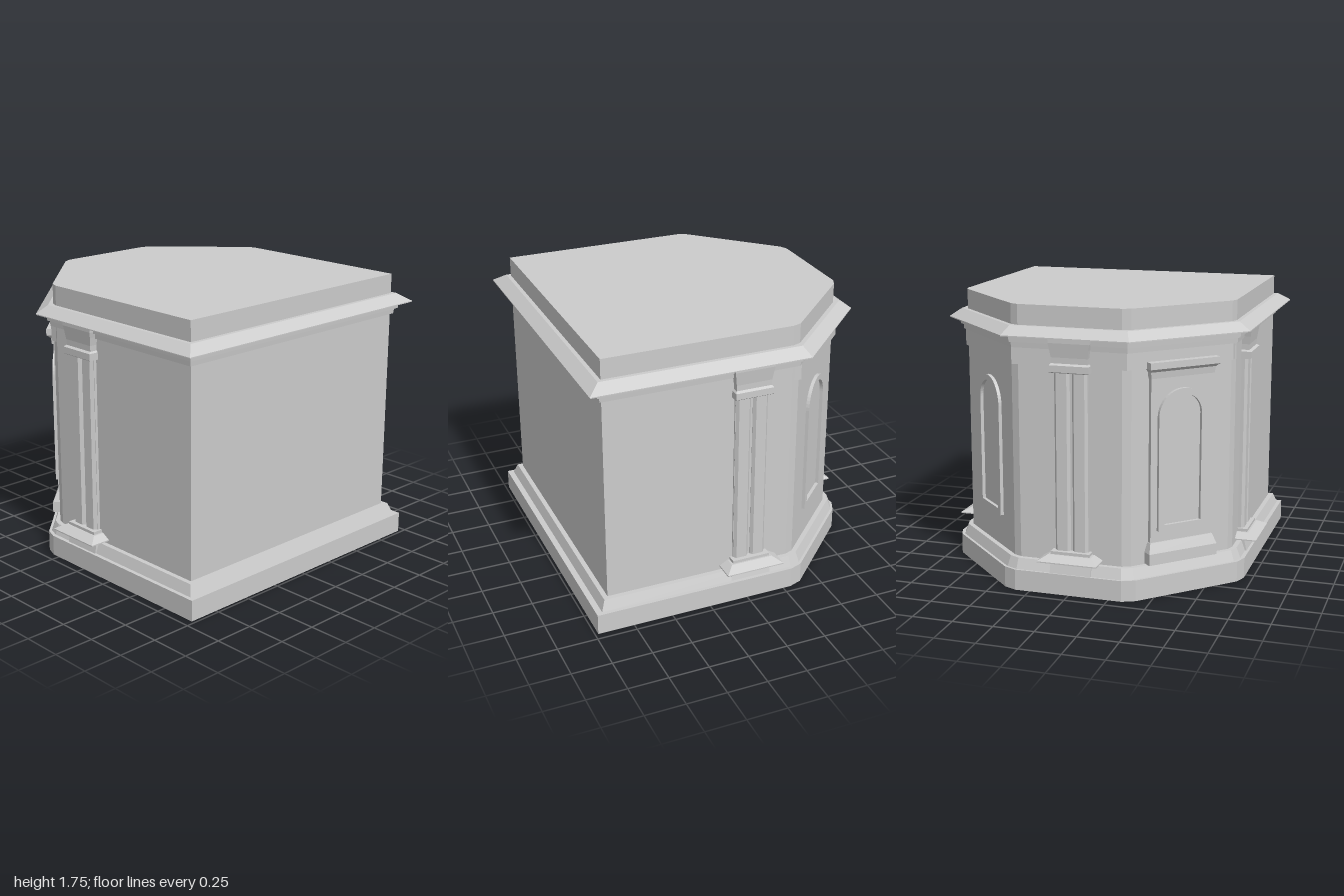
import * as THREE from 'three';

const material = new THREE.MeshStandardMaterial({ color: 0xcccccc, flatShading: true });

function mesh(name, geometry, parent) {
  const m = new THREE.Mesh(geometry, material);
  m.name = name;
  parent.add(m);
  return m;
}

// Closed solid through stacked convex rings: [y, [[x, z], ...]]
function loft(rings) {
  const pos = [];
  const put = (r, i) => pos.push(r[1][i][0], r[0], r[1][i][1]);
  const n = rings[0][1].length;
  for (let k = 0; k < rings.length - 1; k++) {
    const a = rings[k], b = rings[k + 1];
    for (let i = 0; i < n; i++) {
      const j = (i + 1) % n;
      put(a, i); put(a, j); put(b, j);
      put(a, i); put(b, j); put(b, i);
    }
  }
  const bottom = rings[0], top = rings[rings.length - 1];
  for (let i = 1; i < n - 1; i++) {
    put(bottom, 0); put(bottom, i + 1); put(bottom, i);
    put(top, 0); put(top, i); put(top, i + 1);
  }
  const g = new THREE.BufferGeometry();
  g.setAttribute('position', new THREE.Float32BufferAttribute(pos, 3));
  g.computeVertexNormals();
  return g;
}

// Plan outlines: right half from front to back, then mirrored
const mirrored = half => [...half, ...half.map(([x, z]) => [-x, z]).reverse()];
const bevelled = mirrored([[0.87, 0.888], [0.87, -0.3], [0.852, -0.35], [0.37, -0.832], [0.32, -0.855]]);
const sharp = mirrored([[0.87, 0.888], [0.87, -0.335], [0.35, -0.855]]);

// Mitred outward offset of a plan outline
function offset(pts, d) {
  const n = pts.length;
  const normal = (a, b) => {
    const dx = b[0] - a[0], dz = b[1] - a[1], l = Math.hypot(dx, dz);
    return [-dz / l, dx / l];
  };
  return pts.map((p, i) => {
    const u = normal(pts[(i + n - 1) % n], p), v = normal(p, pts[(i + 1) % n]);
    const s = d / (1 + u[0] * v[0] + u[1] * v[1]);
    return [p[0] + (u[0] + v[0]) * s, p[1] + (u[1] + v[1]) * s];
  });
}
const course = (plan, profile) => loft(profile.map(([y, d]) => [y, offset(plan, d)]));

// Block set against a wall: profile of [y, half width, projection]
const wallBlock = profile => loft(profile.map(([y, w, d]) =>
  [y, [[-w, d], [w, d], [w, -0.02], [-w, -0.02]]]));

// Places a wall-mounted group; its local +z points out of the wall
function mount(name, x, z, angle, parent) {
  const g = new THREE.Group();
  g.name = name;
  g.position.set(x, 0, z);
  g.rotation.y = angle;
  parent.add(g);
  return g;
}

function addPilaster(name, x, z, angle, parent) {
  const p = mount(name, x, z, angle, parent);
  mesh('pedestal', wallBlock([[0.13, 0.13, 0.06], [0.195, 0.128, 0.045], [0.215, 0.128, 0.06]]), p);
  mesh('splayedBase', wallBlock([
    [0.215, 0.187, 0.13], [0.222, 0.187, 0.13], [0.252, 0.135, 0.07],
    [0.252, 0.122, 0.06], [0.27, 0.122, 0.06]]), p);
  mesh('shaftBacking', wallBlock([[0.26, 0.106, 0.014], [1.37, 0.106, 0.014]]), p);
  // Two ribs with chamfered edges
  for (const side of [-1, 1]) {
    const section = [[-0.033, 0.034], [0.033, 0.034], [0.048, 0.016], [0.048, 0], [-0.048, 0], [-0.048, 0.016]];
    const rib = mesh('shaftRib', loft([0.26, 1.37].map(y => [y, section])), p);
    rib.position.x = side * 0.055;
  }
  mesh('capital', wallBlock([
    [1.36, 0.122, 0.054], [1.365, 0.122, 0.06], [1.405, 0.122, 0.06], [1.415, 0.112, 0.044],
    [1.45, 0.113, 0.045], [1.5, 0.12, 0.052], [1.535, 0.127, 0.057], [1.57, 0.128, 0.057]]), p);
}

// Round-headed outline with half width r
function archPath(Type, r, bottom, spring) {
  const s = new Type();
  s.moveTo(-r, bottom);
  s.lineTo(r, bottom);
  s.lineTo(r, spring);
  s.absarc(0, spring, r, 0, Math.PI, false);
  s.lineTo(-r, bottom);
  return s;
}

function addArch(parent, z) {
  const shape = archPath(THREE.Shape, 0.166, 0.4, 1.094);
  shape.holes.push(archPath(THREE.Path, 0.125, 0.435, 1.1));
  const frame = mesh('archFrame', new THREE.ExtrudeGeometry(shape,
    { depth: 0.03, bevelEnabled: false, curveSegments: 12 }), parent);
  frame.position.z = z - 0.01;
}

export function createModel() {
  const model = new THREE.Group();
  model.name = 'baySection';
  const body = new THREE.Group();
  body.name = 'body';
  body.position.x = 0.004;
  model.add(body);

  // Horizontal courses from the ground up
  mesh('plinth', course(bevelled, [[0, 0.08], [0.13, 0.08]]), body).position.z = 0.012;
  mesh('plinthSlope', course(bevelled, [[0.13, 0.055], [0.195, 0.03]]), body);
  mesh('wall', course(bevelled, [[0.19, 0], [1.58, 0]]), body);
  const friezePlan = mirrored([[0.865, 0.5], [0.865, -0.361], [0.356, -0.87]]);
  mesh('frieze', loft([1.39, 1.5].map(y => [y, friezePlan])), body);
  mesh('entablature', course(sharp, [
    [1.49, 0.015], [1.525, 0.018], [1.525, 0.034], [1.555, 0.036], [1.555, 0.02], [1.57, 0.02]]), body);
  mesh('cornice', course(sharp, [[1.566, 0.097], [1.572, 0.097], [1.622, 0.025]]), body);
  mesh('parapet', course(bevelled, [[1.6, 0], [1.745, 0]]), body);

  // Pilasters on both sides and the back
  addPilaster('leftPilaster', 0.87, -0.033, Math.PI / 2, model);
  addPilaster('rightPilaster', -0.87, -0.033, -Math.PI / 2, model);
  addPilaster('backPilaster', -0.01, -0.855, Math.PI, model);

  // Plain arched panel on the left angled wall
  addArch(mount('leftArch', 0.605, -0.598, Math.PI * 0.75, body), 0);

  // Framed arched panel on the right angled wall
  const framed = mount('rightArch', -0.602, -0.601, -Math.PI * 0.75, body);
  mesh('panel', wallBlock([[0.2, 0.21, 0.025], [1.4, 0.21, 0.025]]), framed);
  mesh('panelBase', wallBlock([
    [0.2, 0.235, 0.06], [0.27, 0.235, 0.06], [0.33, 0.215, 0.035]]), framed);
  mesh('panelHead', wallBlock([
    [1.33, 0.215, 0.035], [1.37, 0.22, 0.04], [1.39, 0.235, 0.065], [1.43, 0.235, 0.065]]), framed);
  addArch(framed, 0.025);

  return model;
}
